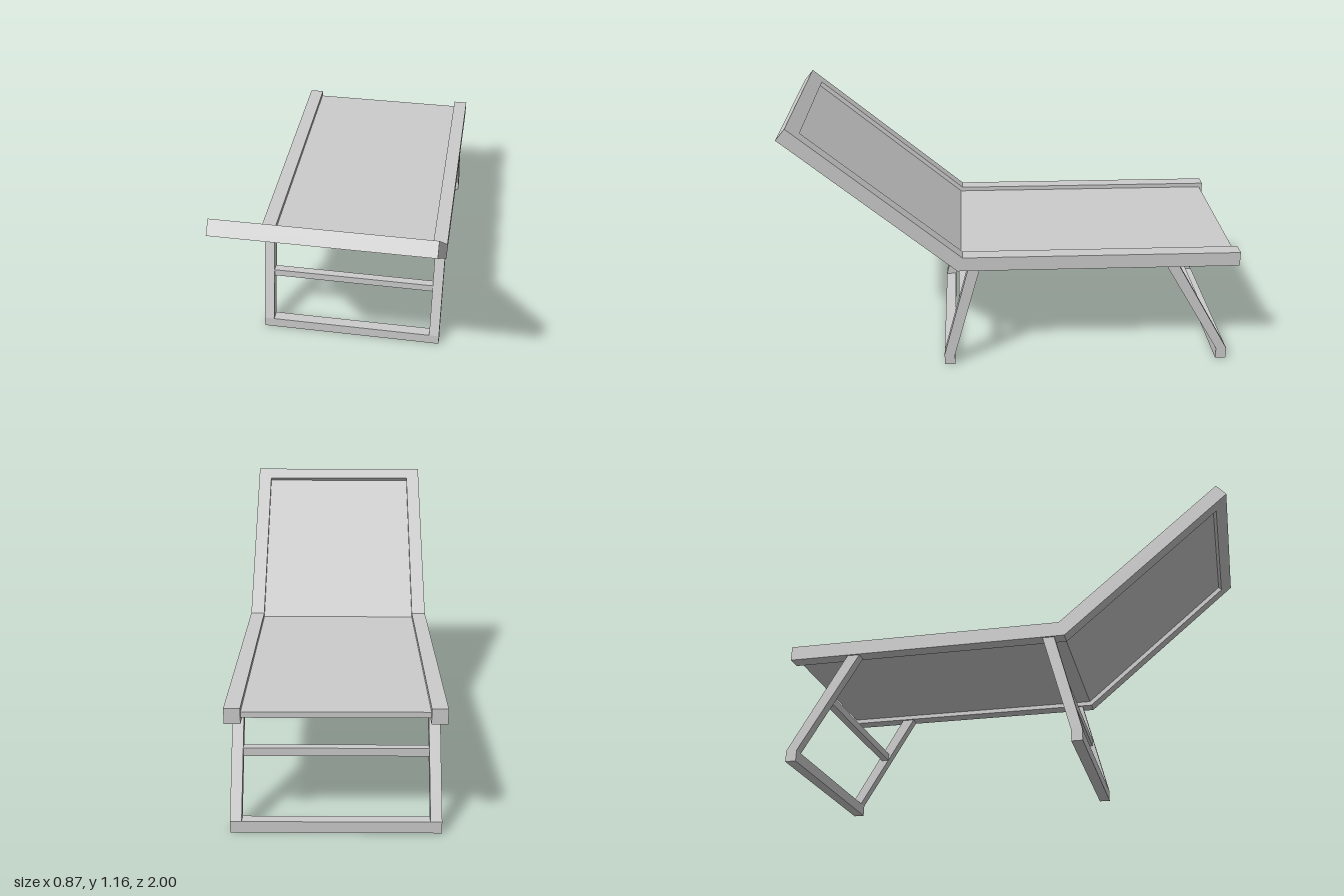
import * as THREE from 'three';

const material = new THREE.MeshStandardMaterial({ color: 0xcccccc, flatShading: true });

// Extrude a side profile of [z, y] points across x, centred on x = cx
function slab(name, points, width, cx = 0) {
  const shape = new THREE.Shape(points.map(([z, y]) => new THREE.Vector2(z, y)));
  const geo = new THREE.ExtrudeGeometry(shape, { depth: width, bevelEnabled: false });
  geo.translate(0, 0, -width / 2).rotateY(-Math.PI / 2).translate(cx, 0, 0);
  const mesh = new THREE.Mesh(geo, material);
  mesh.name = name;
  return mesh;
}

// Underside line of the lounger: foot end, hinge, head end
const T = 0.065, FOOT = -1, HINGE = [0.26, 0.485], HEAD = [1, 1.11];
const LEN = Math.hypot(HEAD[0] - HINGE[0], HEAD[1] - HINGE[1]);
const DIR = [(HEAD[0] - HINGE[0]) / LEN, (HEAD[1] - HINGE[1]) / LEN];

// Point on the backrest: distance s along it, offset o above its underside
const onBack = (s, o) => [HINGE[0] + DIR[0] * s - DIR[1] * o, HINGE[1] + DIR[1] * s + DIR[0] * o];
// Mitred corner between seat and backrest at offset o
const corner = (o) => [HINGE[0] - o * DIR[1] / (1 + DIR[0]), HINGE[1] + o];

// Bent strip following seat and backrest between two offsets
const bentProfile = (foot, s, lo, hi) => [
  [foot, HINGE[1] + lo], corner(lo), onBack(s, lo), onBack(s, hi), corner(hi), [foot, HINGE[1] + hi],
];

// Leg frame: two slanted legs, a foot bar and a cross bar
function legFrame(name, footZ, topZ, topWidth) {
  const group = new THREE.Group();
  group.name = name;
  const h = 0.024, barTop = 0.05, top = 0.49;
  for (const side of [-1, 1]) {
    group.add(slab(side > 0 ? 'leftLeg' : 'rightLeg', [
      [footZ - h, barTop], [footZ + h, barTop],
      [topZ + topWidth / 2, top], [topZ - topWidth / 2, top],
    ], 0.047, side * 0.4035));
  }
  group.add(slab('footBar', [
    [footZ - h, 0], [footZ + h, 0], [footZ + h, barTop], [footZ - h, barTop],
  ], 0.854));
  const y = 0.289, t = 0.0175;
  const z = footZ + (topZ - footZ) * (y - barTop) / (top - barTop);
  group.add(slab('crossBar', [[z - t, y - t], [z + t, y - t], [z + t, y + t], [z - t, y + t]], 0.76));
  return group;
}

export function createModel() {
  const model = new THREE.Group();
  model.name = 'lounger';

  // Side rails
  for (const side of [-1, 1]) {
    model.add(slab(side > 0 ? 'leftRail' : 'rightRail', bentProfile(FOOT, LEN, 0, T), T, side * 0.4025));
  }

  // Bar across the head end
  model.add(slab('headBar', [
    onBack(LEN - T, 0), onBack(LEN, 0), onBack(LEN, T), onBack(LEN - T, T),
  ], 0.74));

  // Panel of seat and backrest, set in between the rails
  model.add(slab('panel', bentProfile(-0.985, LEN - T, 0.02, 0.045), 0.74));

  // Folding leg frames
  model.add(legFrame('backrestLegs', 0.304, 0.187, 0.052));
  model.add(legFrame('footEndLegs', -0.955, -0.7, 0.056));
  return model;
}
